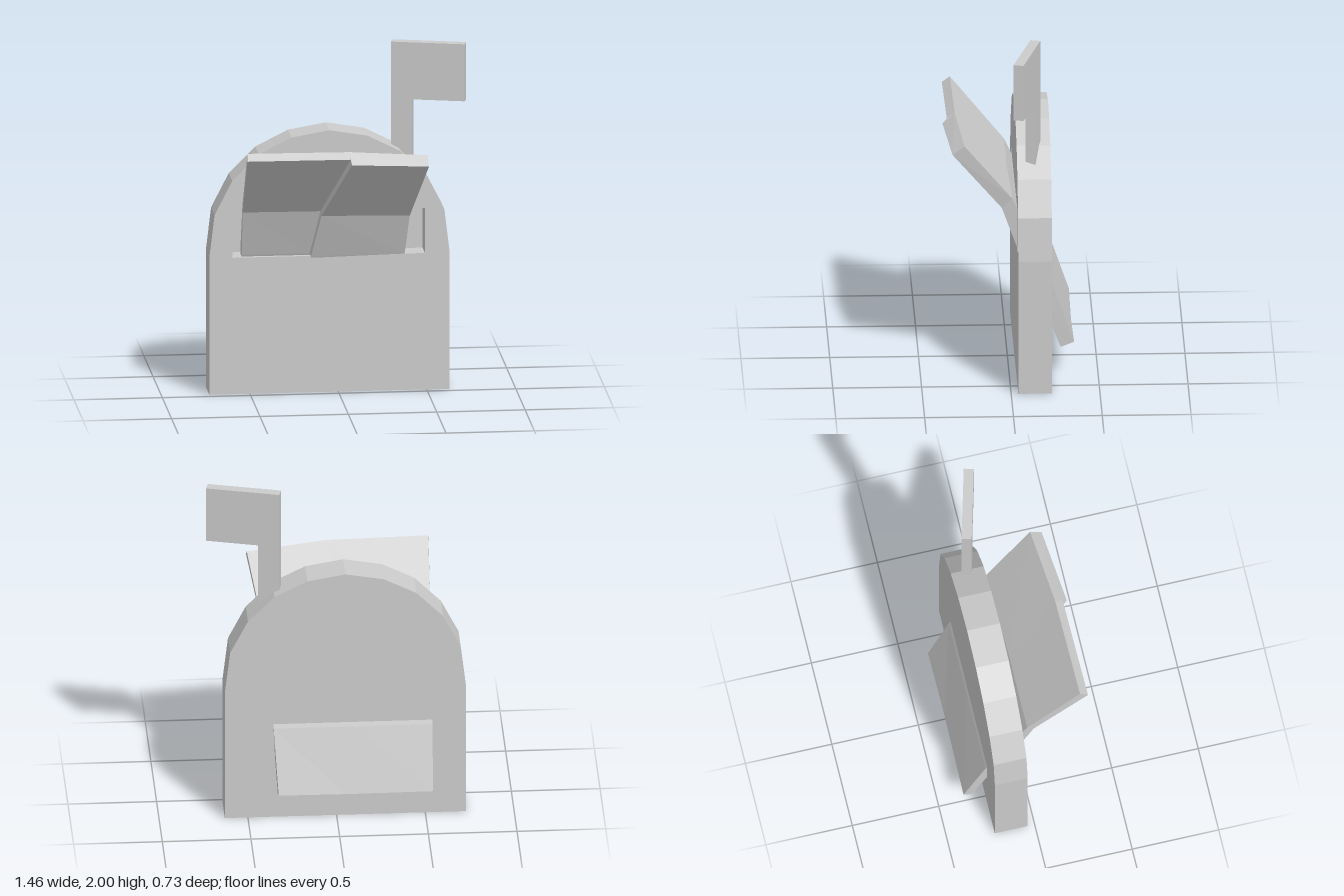
import * as THREE from 'three';

const grey = () => new THREE.MeshStandardMaterial({ color: 0xcccccc, flatShading: true });

function addMesh(group, name, geometry) {
  const mesh = new THREE.Mesh(geometry, grey());
  mesh.name = name;
  group.add(mesh);
  return mesh;
}

const toShape = (pts) => new THREE.Shape(pts.map(([x, y]) => new THREE.Vector2(x, y)));

const extrude = (shape, depth, z) =>
  new THREE.ExtrudeGeometry(shape, { depth, bevelEnabled: false }).translate(0, 0, z);

// Faceted arch outline, mirrored about its own centre line
function archShape() {
  const cx = -0.05;
  const half = [[0.68, 0], [0.68, 0.79], [0.65, 1.04], [0.55, 1.235], [0.4, 1.385], [0.215, 1.478]];
  const right = half.map(([x, y]) => [cx + x, y]);
  const left = half.map(([x, y]) => [cx - x, y]).reverse();
  return toShape([...right, [cx, 1.515], ...left]);
}

// Skin of quads between equal closed loops, with fan caps at both ends
function loftLoops(loops) {
  const n = loops[0].length;
  const out = [];
  const tri = (a, b, c) => out.push(...a, ...b, ...c);
  for (let s = 0; s < loops.length - 1; s++) {
    for (let i = 0; i < n; i++) {
      const j = (i + 1) % n;
      tri(loops[s][i], loops[s][j], loops[s + 1][i]);
      tri(loops[s][j], loops[s + 1][j], loops[s + 1][i]);
    }
  }
  const first = loops[0], last = loops[loops.length - 1];
  for (let k = 2; k < n; k++) {
    const a = k, b = (k + 1) % n;
    tri(first[1], first[b], first[a]);
    tri(last[1], last[a], last[b]);
  }
  const geometry = new THREE.BufferGeometry();
  geometry.setAttribute('position', new THREE.Float32BufferAttribute(out, 3));
  geometry.computeVertexNormals();
  return geometry;
}

// Bent, folded mail: each loop runs along the upper face to the right,
// then back along the stepped lower face
function mailGeometry() {
  return loftLoops([
    [[-0.55, 1.475, 0.305], [0.03, 1.468, 0.297], [0.475, 1.43, 0.258],
      [0.475, 1.38, 0.325], [0.035, 1.408, 0.367], [0.03, 1.435, 0.342], [-0.555, 1.44, 0.35]],
    [[-0.547, 1.1, 0.0], [-0.1, 1.1, 0.0], [0.4, 1.085, -0.015],
      [0.395, 1.03, 0.045], [-0.105, 1.045, 0.06], [-0.11, 1.067, 0.04], [-0.549, 1.07, 0.038]],
    [[-0.545, 0.83, -0.125], [-0.15, 0.83, -0.125], [0.378, 0.83, -0.125],
      [0.375, 0.79, -0.04], [-0.155, 0.79, -0.035], [-0.16, 0.8, -0.06], [-0.545, 0.8, -0.06]],
    [[-0.54, 0.56, -0.24], [-0.1, 0.56, -0.24], [0.355, 0.56, -0.24],
      [0.355, 0.5, -0.165], [-0.1, 0.5, -0.165], [-0.105, 0.52, -0.19], [-0.54, 0.52, -0.19]],
    [[-0.535, 0.2, -0.365], [-0.04, 0.195, -0.36], [0.335, 0.2, -0.365],
      [0.335, 0.17, -0.288], [-0.045, 0.167, -0.285], [-0.05, 0.175, -0.312], [-0.535, 0.18, -0.317]],
  ]);
}

export function createModel() {
  const model = new THREE.Group();
  model.name = 'mailbox';

  // Front slab with the slot cut through, closed by a back slab
  const front = archShape();
  front.holes.push(new THREE.Path(
    [[-0.6, 0.79], [-0.6, 1.05], [0.49, 1.05], [0.49, 0.79]].map(([x, y]) => new THREE.Vector2(x, y))));
  const body = new THREE.Group();
  body.name = 'body';
  addMesh(body, 'slottedFront', extrude(front, 0.13, -0.17));
  addMesh(body, 'backPanel', extrude(archShape(), 0.06, -0.23));
  model.add(body);

  // Flag and pole in one plate, turned slightly outward
  const flagShape = toShape([[0, 1.25], [0.12, 1.25], [0.12, 1.67], [0.42, 1.67], [0.42, 2], [0, 2]]);
  const flag = addMesh(model, 'flag', extrude(flagShape, 0.057, -0.0285));
  flag.position.set(0.313, 0, -0.147);
  flag.rotation.y = -THREE.MathUtils.degToRad(15);

  // Mail sticking out of the slot and the back
  addMesh(model, 'mail', mailGeometry());
  return model;
}
